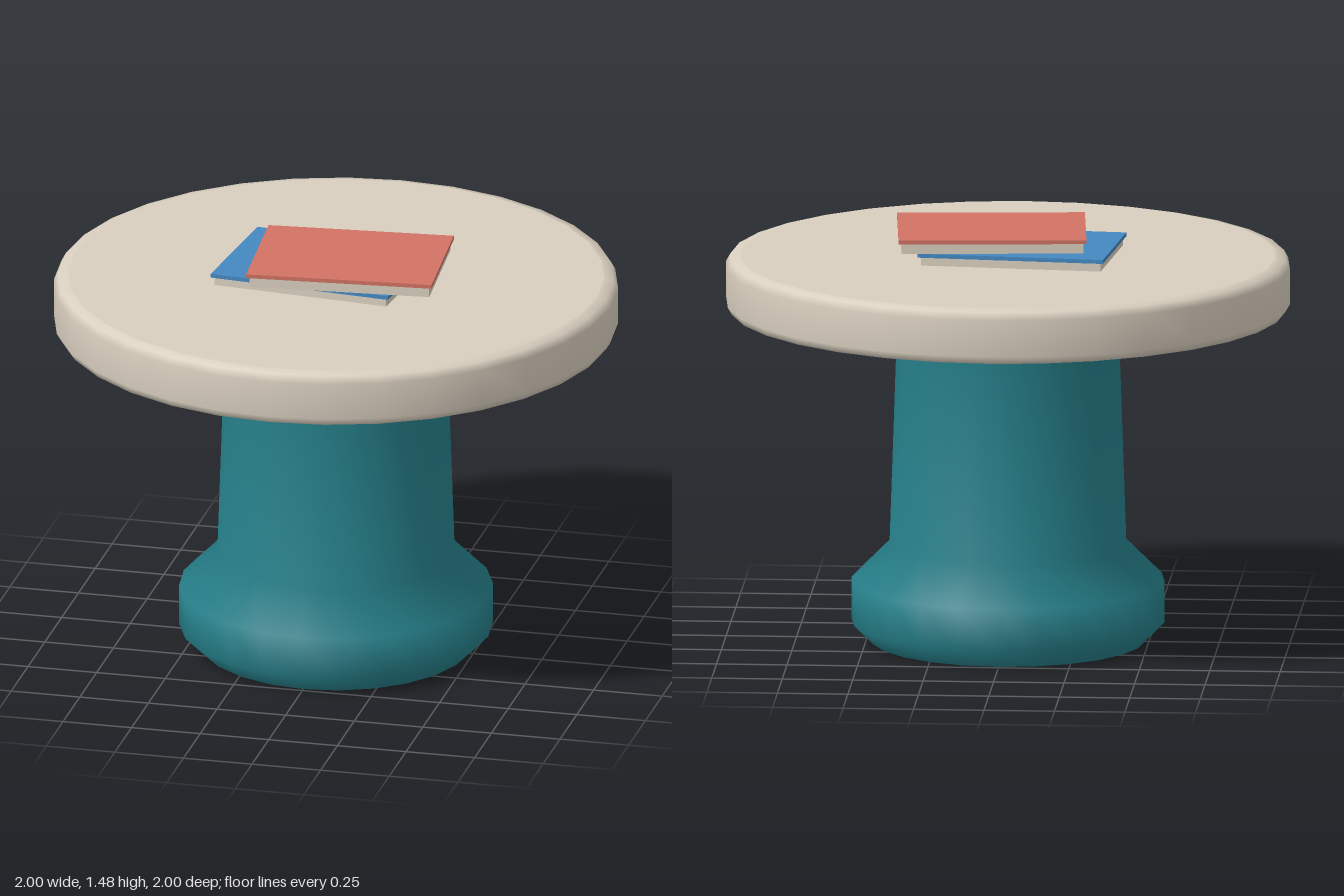
import * as THREE from 'three';

const paint = (name, color) => {
  const m = new THREE.MeshStandardMaterial({ color });
  m.name = name;
  return m;
};

export function createModel() {
  const teal = paint('teal', 0x26808a);
  const cream = paint('cream', 0xd9cfbf);
  const blue = paint('blue', 0x4488c0);
  const red = paint('red', 0xd27364);

  const model = new THREE.Group();
  model.name = 'sideTable';

  const add = (parent, name, geometry, material, x = 0, y = 0, z = 0) => {
    const mesh = new THREE.Mesh(geometry, material);
    mesh.name = name;
    mesh.position.set(x, y, z);
    parent.add(mesh);
    return mesh;
  };

  // A smooth turned body closed by flat discs at both ends
  const turned = (name, profile, sides, material) => {
    const group = new THREE.Group();
    group.name = name;
    const points = profile.map(([r, y]) => new THREE.Vector2(r, y));
    add(group, name + 'Side', new THREE.LatheGeometry(points, sides), material);
    const first = points[0], last = points[points.length - 1];
    add(group, name + 'Bottom', new THREE.CircleGeometry(first.x, sides).rotateX(Math.PI / 2), material, 0, first.y);
    add(group, name + 'Top', new THREE.CircleGeometry(last.x, sides).rotateX(-Math.PI / 2), material, 0, last.y);
    model.add(group);
  };

  // Pedestal with a wide foot and a flared neck
  turned('pedestal', [
    [0.485, 0], [0.555, 0.07], [0.555, 0.22], [0.42, 0.355], [0.395, 1.09], [0.465, 1.19],
  ], 24, teal);

  // Round top with a softened rim
  turned('tableTop', [
    [0.95, 1.19], [0.985, 1.198], [1, 1.225], [1, 1.355], [0.985, 1.382], [0.95, 1.39],
  ], 32, cream);

  // Two stacked books: a page block under a thin, slightly larger cover
  const book = (name, x, y, z, turn, pageHeight, cover) => {
    const group = new THREE.Group();
    group.name = name;
    group.position.set(x, y, z);
    group.rotation.y = turn;
    add(group, name + 'Pages', new THREE.BoxGeometry(0.645, pageHeight, 0.475), cream, 0, pageHeight / 2);
    add(group, name + 'Cover', new THREE.BoxGeometry(0.665, 0.014, 0.495), cover, 0, pageHeight + 0.007);
    model.add(group);
  };
  book('lowerBook', -0.05, 1.39, -0.005, -0.1, 0.03, blue);
  book('upperBook', 0.06, 1.434, 0.037, 0.08, 0.036, red);

  return model;
}
